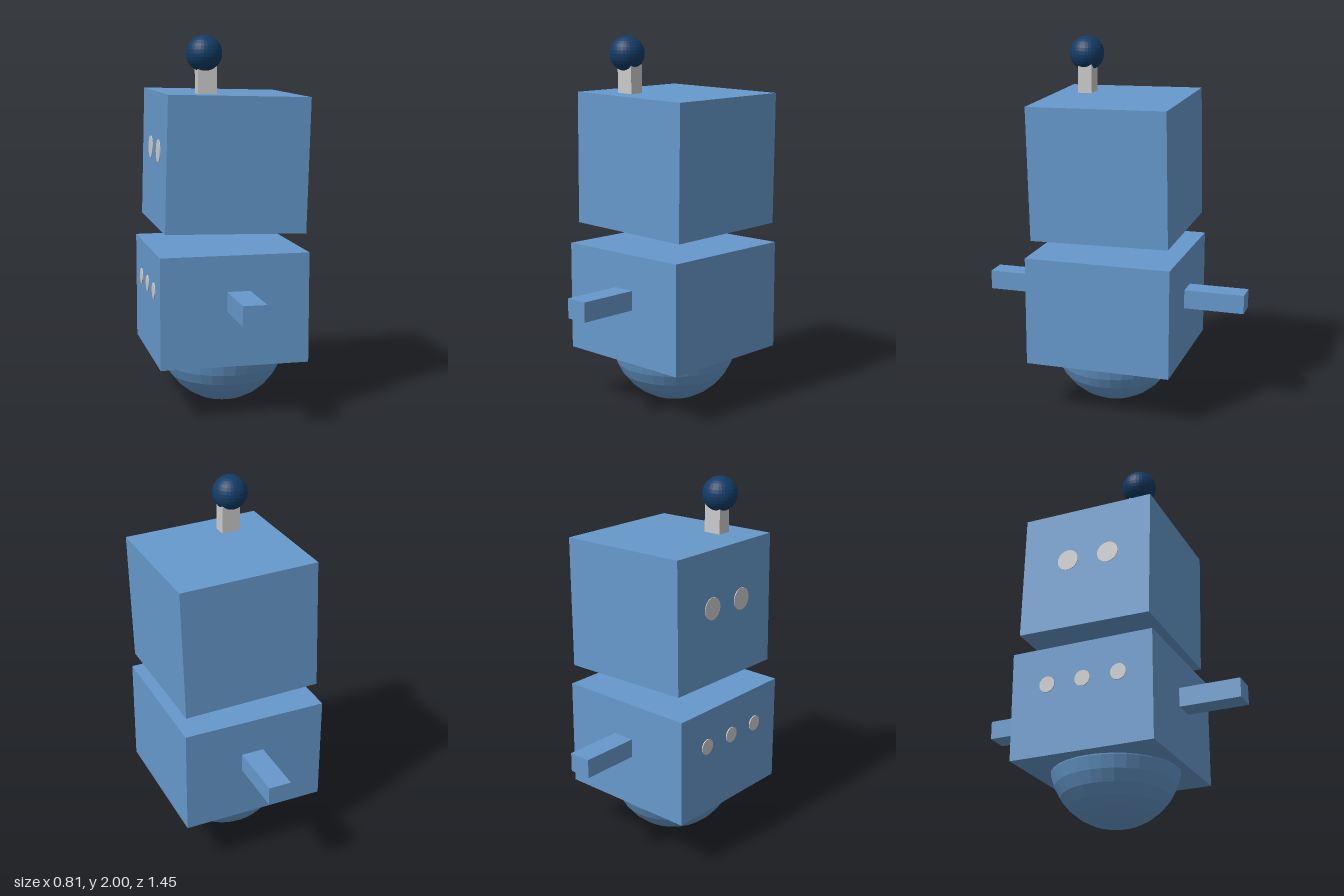
import * as THREE from 'three';

const blue = new THREE.MeshStandardMaterial({ color: 0x6699cc, flatShading: true });
const navy = new THREE.MeshStandardMaterial({ color: 0x123c66, flatShading: true });
const grey = new THREE.MeshStandardMaterial({ color: 0xcccccc, flatShading: true });

function add(parent, name, geometry, material, x, y, z) {
  const mesh = new THREE.Mesh(geometry, material);
  mesh.name = name;
  mesh.position.set(x, y, z);
  parent.add(mesh);
  return mesh;
}

// Round disc facing sideways along x
function disc(radius) {
  return new THREE.CylinderGeometry(radius, radius, 0.03, 32).rotateZ(Math.PI / 2);
}

export function createModel() {
  const model = new THREE.Group();
  model.name = 'robot';

  // Rolling ball and boxy torso
  add(model, 'baseBall', new THREE.SphereGeometry(0.346, 32, 16), blue, 0.013, 0.346, 0.004);
  add(model, 'torso', new THREE.BoxGeometry(0.795, 0.59, 0.79), blue, -0.002, 0.58, -0.004);

  // Arms, reaching out along z from the torso
  add(model, 'frontArm', new THREE.BoxGeometry(0.124, 0.105, 0.4), blue, 0.016, 0.632, 0.525);
  add(model, 'backArm', new THREE.BoxGeometry(0.124, 0.102, 0.4), blue, 0.012, 0.624, -0.525);

  // Row of chest buttons
  for (const z of [-0.195, 0.005, 0.205]) {
    add(model, 'button', disc(0.043), grey, -0.39, 0.67, z);
  }

  // Slightly tilted head floating above the torso, with two eyes
  const head = new THREE.Group();
  head.name = 'head';
  head.position.set(0.019, 1.342, -0.008);
  head.rotation.set(0.015, 0, -0.025);
  model.add(head);
  add(head, 'headBox', new THREE.BoxGeometry(0.752, 0.712, 0.747), blue, 0, 0, 0);
  for (const z of [-0.105, 0.13]) {
    add(head, 'eye', disc(0.06), grey, -0.365, 0.05, z);
  }

  // Antenna stalk and ball
  add(model, 'antennaStalk', new THREE.BoxGeometry(0.102, 0.24, 0.078), grey, -0.118, 1.76, 0.207);
  add(model, 'antennaBall', new THREE.SphereGeometry(0.094, 32, 16), navy, -0.13, 1.906, 0.215);

  return model;
}
